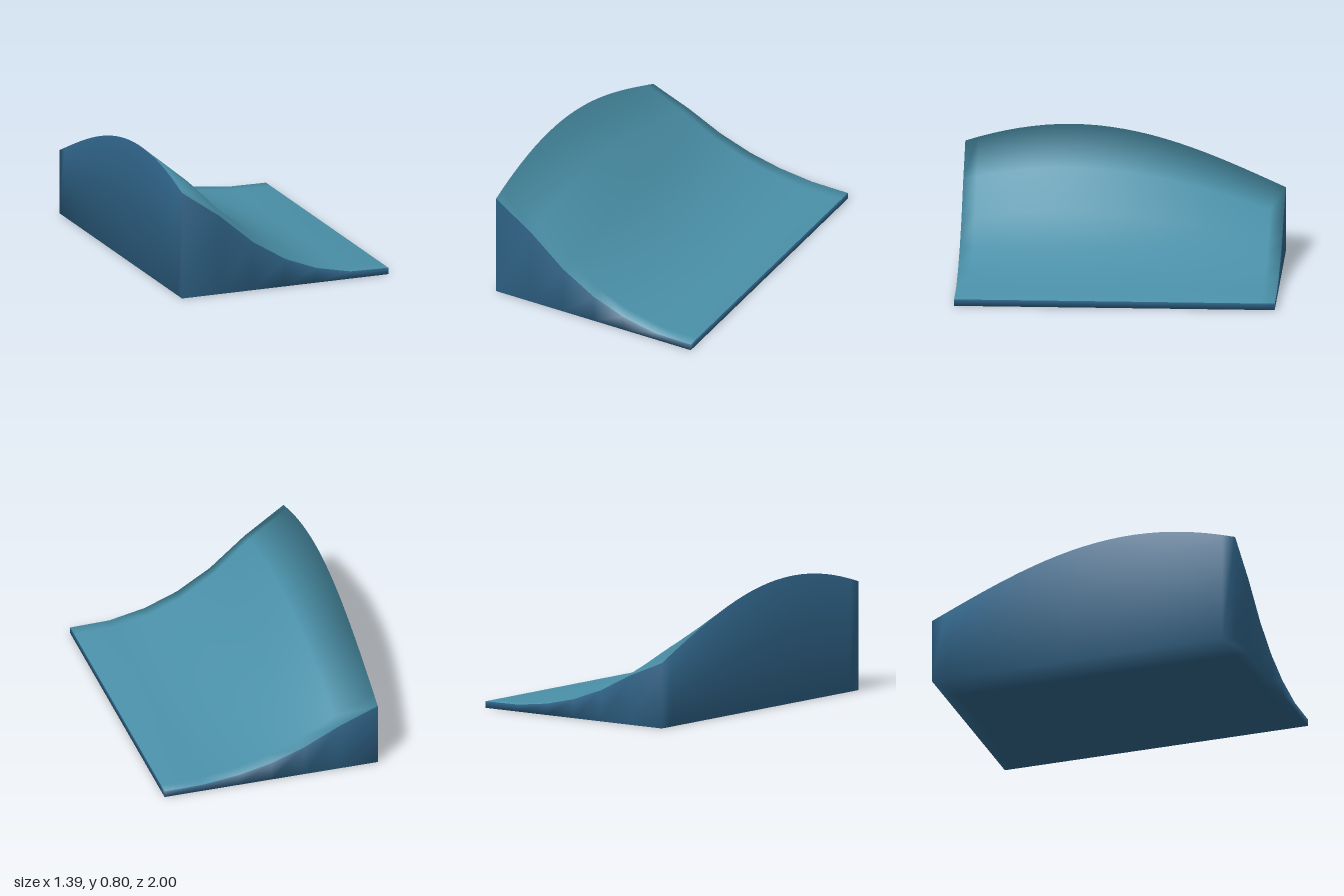
import * as THREE from 'three';

// Height profile across the ramp, at its tallest depth
const STATIONS = [
  [-0.695, 0.803], [-0.44, 0.59], [-0.215, 0.36], [0, 0.203],
  [0.21, 0.105], [0.44, 0.048], [0.695, 0.042],
];
const LIP = 0.041;
const ROWS = 24;

// The crest swells along z and is tallest at z = 0.33
const swell = (z) => 0.5 + 0.5 * Math.cos(1.2 * (z - 0.33));

export function createModel() {
  const surface = new THREE.MeshStandardMaterial({ color: 0x4a90a8 });
  surface.name = 'teal surface';
  const body = new THREE.MeshStandardMaterial({ color: 0x2d5f82 });
  body.name = 'deep blue body';

  const cols = STATIONS.length;
  const count = cols * (ROWS + 1);
  const top = (i, j) => j * cols + i;
  const positions = [];
  const index = [];
  const quad = (a, b, c, d) => index.push(a, b, c, a, c, d);

  // Top grid of vertices, then the same grid flat on the ground
  for (const isTop of [true, false]) {
    for (let j = 0; j <= ROWS; j++) {
      const z = -1 + (2 * j) / ROWS;
      for (const [x, h] of STATIONS) {
        positions.push(x, isTop ? LIP + (h - LIP) * swell(z) : 0, z);
      }
    }
  }

  // Curved upper surface
  const eachCell = (fn) => {
    for (let j = 0; j < ROWS; j++) for (let i = 0; i < cols - 1; i++) fn(i, j);
  };
  eachCell((i, j) => quad(top(i, j), top(i, j + 1), top(i + 1, j + 1), top(i + 1, j)));
  const split = index.length;

  // Underside
  eachCell((i, j) => quad(...[
    top(i, j), top(i + 1, j), top(i + 1, j + 1), top(i, j + 1),
  ].map((v) => v + count)));

  // Walls around the rim
  const rim = [];
  for (let j = 0; j < ROWS; j++) rim.push(top(0, j));
  for (let i = 0; i < cols - 1; i++) rim.push(top(i, ROWS));
  for (let j = ROWS; j > 0; j--) rim.push(top(cols - 1, j));
  for (let i = cols - 1; i > 0; i--) rim.push(top(i, 0));
  rim.forEach((a, k) => {
    const b = rim[(k + 1) % rim.length];
    quad(a + count, b + count, b, a);
  });

  // Shared vertices keep the shading smooth over every edge
  const geometry = new THREE.BufferGeometry();
  geometry.setAttribute('position', new THREE.Float32BufferAttribute(positions, 3));
  geometry.setIndex(index);
  geometry.addGroup(0, split, 0);
  geometry.addGroup(split, index.length - split, 1);
  geometry.computeVertexNormals();

  const wave = new THREE.Mesh(geometry, [surface, body]);
  wave.name = 'curvedRamp';
  const group = new THREE.Group();
  group.name = 'waveRamp';
  group.add(wave);
  return group;
}
